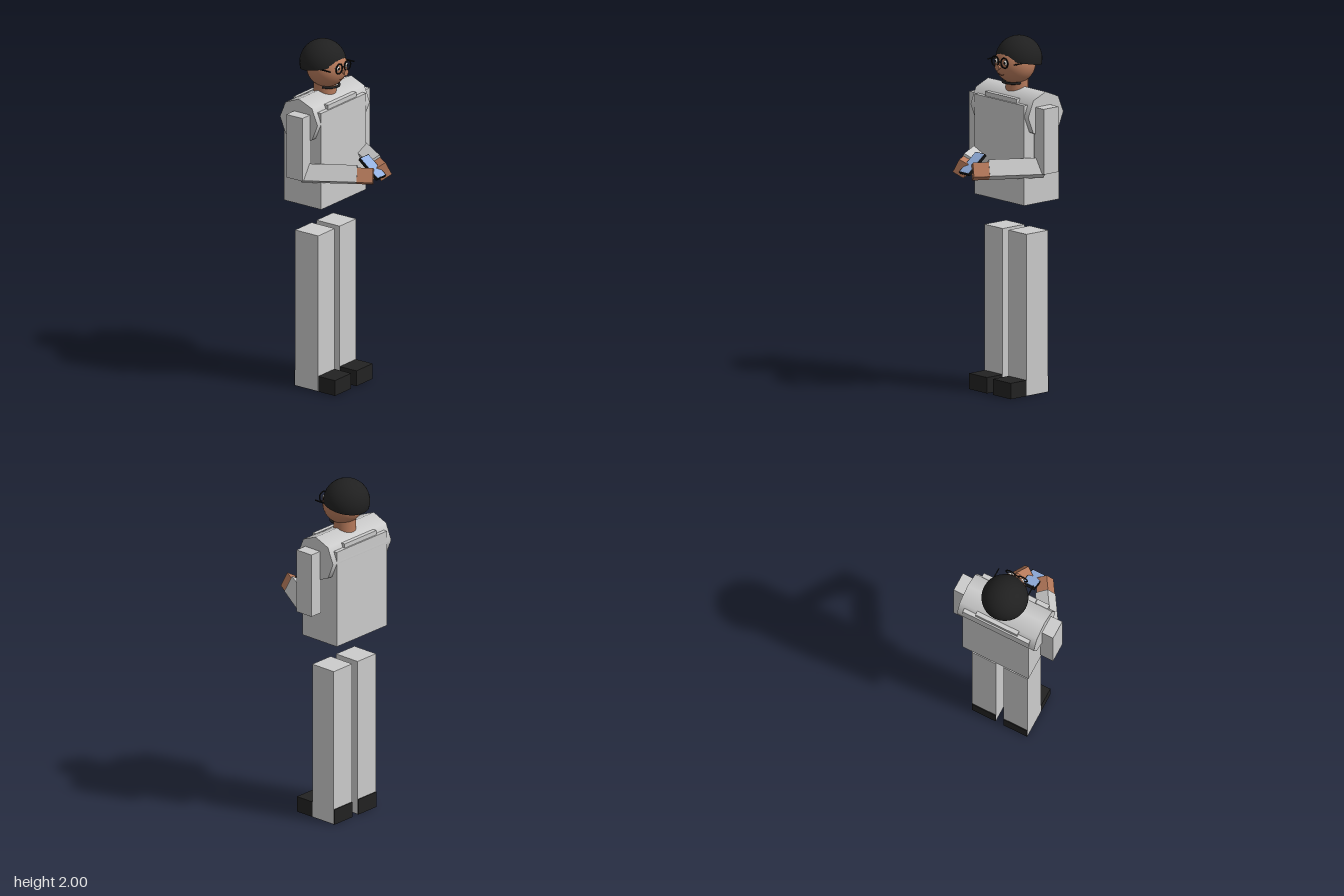
import * as THREE from 'three';

const mat = (name, color, side = THREE.FrontSide) => {
  const m = new THREE.MeshStandardMaterial({ color, side });
  m.name = name;
  return m;
};

export function createModel() {
  const root = new THREE.Group();
  root.name = 'standingFigure';

  const cloth = mat('light grey cloth', 0xcccccc);
  const skin = mat('skin', 0xb87b5c);
  const hairMat = mat('black hair', 0x202020, THREE.DoubleSide);
  const shoeMat = mat('shoe black', 0x222222);
  const black = mat('frame black', 0x141414);
  const screenMat = mat('screen blue', 0x93b0e0);
  const white = mat('eye white', 0xe8e4de);
  const lipMat = mat('lip brown', 0x8a4f3a);

  const add = (name, geo, material, x, y, z, parent = root) => {
    const m = new THREE.Mesh(geo, material);
    m.name = name;
    m.position.set(x, y, z);
    parent.add(m);
    return m;
  };
  // Box given by its limits on each axis
  const span = (name, material, x0, x1, y0, y1, z0, z1) =>
    add(name, new THREE.BoxGeometry(x1 - x0, y1 - y0, z1 - z0), material,
      (x0 + x1) / 2, (y0 + y1) / 2, (z0 + z1) / 2);

  // Torso, collar plate and rounded shoulders
  span('torso', cloth, -0.205, 0.205, 1.09, 1.655, -0.255, 0.002);
  span('collarPlate', cloth, -0.13, 0.13, 1.64, 1.68, -0.246, -0.007);
  const shoulders = new THREE.CylinderGeometry(0.13, 0.13, 0.478, 8);
  shoulders.rotateZ(Math.PI / 2);
  add('shoulders', shoulders, cloth, 0, 1.592, -0.128);
  add('neck', new THREE.CylinderGeometry(0.063, 0.063, 0.16, 20), skin, 0, 1.69, -0.128);

  // Arms, hands, legs and shoes
  for (const s of [1, -1]) {
    const side = s > 0 ? 'left' : 'right';
    const limb = (name, material, w, h, d, x, y, z) => {
      const m = add(side + name, new THREE.BoxGeometry(w, h, d), material, s * x, y, z);
      m.rotation.set(0, -0.567 * s, 0.476 * s, 'YXZ');
    };
    add(side + 'UpperArm', new THREE.BoxGeometry(0.08, 0.37, 0.11), cloth, s * 0.269, 1.46, -0.105);
    limb('Forearm', cloth, 0.077, 0.096, 0.309, 0.175, 1.3, 0.036);
    limb('Hand', skin, 0.07, 0.083, 0.092, 0.071, 1.293, 0.204);
    add(side + 'Leg', new THREE.BoxGeometry(0.15, 0.914, 0.16), cloth, s * 0.098, 0.459, -0.123);
    add(side + 'Shoe', new THREE.BoxGeometry(0.148, 0.09, 0.28), shoeMat, s * 0.098, 0.045, -0.068);
  }

  // Phone, tilted so the screen looks up and forward
  const phone = new THREE.Group();
  phone.name = 'phone';
  phone.position.set(0, 1.322, 0.2);
  phone.rotation.x = 0.66;
  root.add(phone);
  add('phoneBody', new THREE.BoxGeometry(0.08, 0.016, 0.156), black, 0, 0, 0, phone);
  add('phoneScreen', new THREE.BoxGeometry(0.072, 0.002, 0.148), screenMat, 0, 0.0085, 0, phone);

  // Head with a tilted cap of hair
  add('head', new THREE.SphereGeometry(0.114, 32, 20), skin, 0, 1.849, -0.115);
  const hair = add('hair',
    new THREE.SphereGeometry(0.13, 28, 14, 0, Math.PI * 2, 0, 1.69), hairMat, 0, 1.869, -0.142);
  hair.rotation.x = -0.2;

  // Nose: cone with its base facing forward
  const nose = new THREE.ConeGeometry(0.018, 0.045, 12);
  nose.rotateX(-Math.PI / 2);
  add('nose', nose, skin, 0, 1.84, -0.001);

  // Mouth
  const smile = new THREE.QuadraticBezierCurve3(
    new THREE.Vector3(-0.022, 1.799, -0.014),
    new THREE.Vector3(0, 1.785, -0.013),
    new THREE.Vector3(0.022, 1.799, -0.014));
  add('mouth', new THREE.TubeGeometry(smile, 10, 0.0025, 6), lipMat, 0, 0, 0);

  // Chin beard: half ring under the jaw
  const beard = new THREE.TorusGeometry(0.058, 0.007, 8, 20, Math.PI);
  beard.rotateX(Math.PI / 2);
  add('chinBeard', beard, hairMat, 0, 1.745, -0.1);

  // Eyes and glasses
  for (const s of [1, -1]) {
    const side = s > 0 ? 'left' : 'right';
    add(side + 'Eye', new THREE.SphereGeometry(0.015, 14, 10), white, s * 0.038, 1.868, -0.015);
    add(side + 'Pupil', new THREE.SphereGeometry(0.008, 12, 8), black, s * 0.038, 1.868, -0.006);
    add(side + 'Lens rim', new THREE.TorusGeometry(0.028, 0.004, 8, 24), black, s * 0.038, 1.868, 0);
    add(side + 'GlassesArm', new THREE.BoxGeometry(0.006, 0.006, 0.09), black, s * 0.108, 1.868, -0.052);
  }
  add('glassesBridge', new THREE.BoxGeometry(0.022, 0.005, 0.005), black, 0, 1.87, 0.001);

  return root;
}
